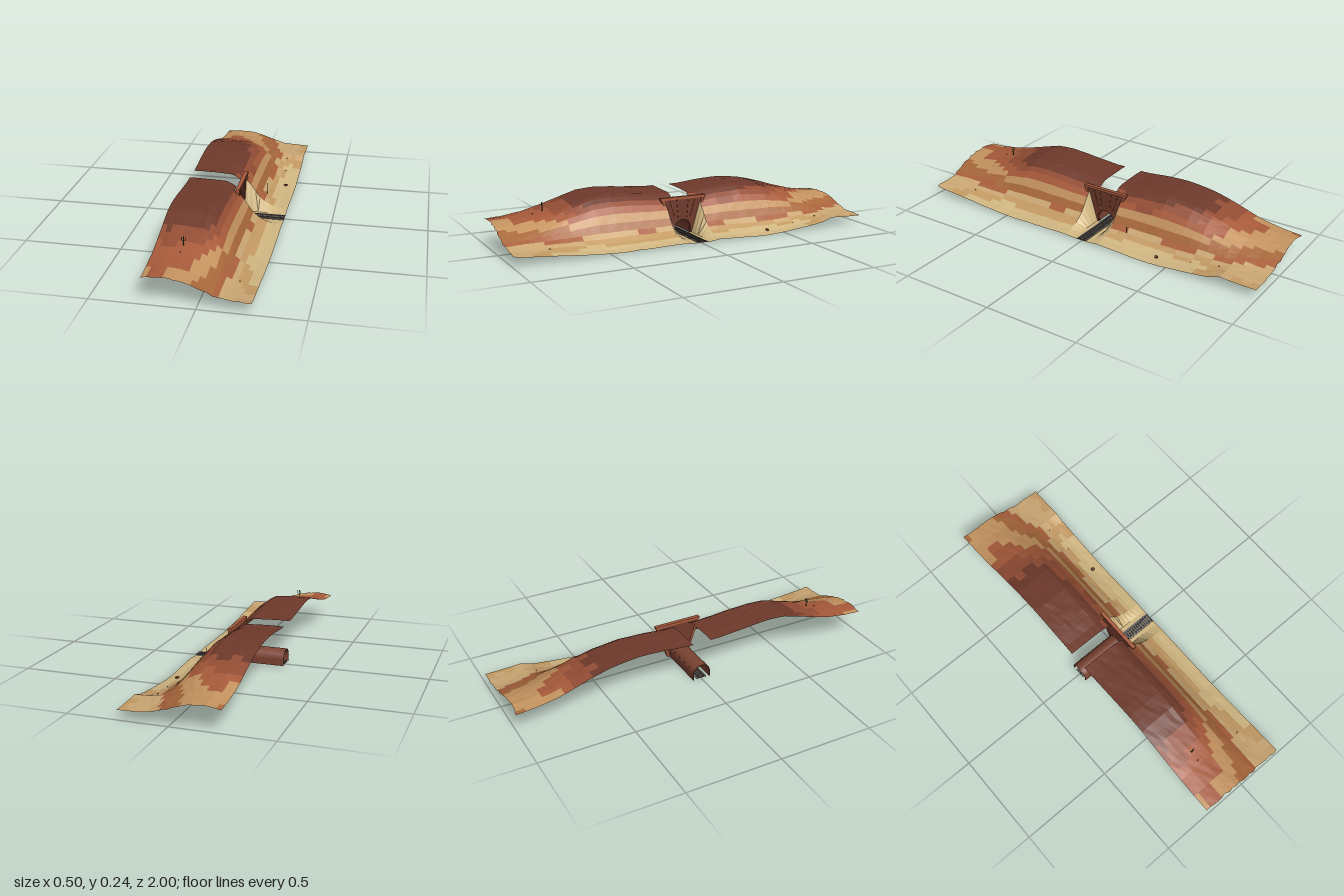
import * as THREE from 'three';

const { clamp, lerp } = THREE.MathUtils;
const mat = (color, extra = {}) => new THREE.MeshStandardMaterial({ color, flatShading: true, side: THREE.DoubleSide, ...extra });

function mesh(parent, name, geometry, material, x = 0, y = 0, z = 0) {
  const m = new THREE.Mesh(geometry, material);
  m.name = name;
  m.position.set(x, y, z);
  parent.add(m);
  return m;
}

// Linear lookup in a list of [key, value] pairs sorted by key
function sample(table, k) {
  for (let i = 1; i < table.length; i++) {
    const [k0, v0] = table[i - 1], [k1, v1] = table[i];
    if (k <= k1) return lerp(v0, v1, clamp((k - k0) / (k1 - k0), 0, 1));
  }
  return table[table.length - 1][1];
}

// Repeatable noise in -1..1
function noise(a, b) {
  const s = Math.sin(a * 127.1 + b * 311.7) * 43758.5453;
  return (s - Math.floor(s)) * 2 - 1;
}

// Hill cross-sections at the low ends and at the high middle, and the ridge line
const END = [[-0.25, 0.135], [-0.17, 0.145], [-0.1, 0.138], [-0.05, 0.128], [0, 0.11], [0.05, 0.088], [0.1, 0.068], [0.15, 0.058], [0.25, 0.054]];
const MID = [[-0.25, 0.245], [-0.05, 0.24], [-0.025, 0.23], [0, 0.212], [0.025, 0.19], [0.05, 0.157], [0.075, 0.115], [0.1, 0.077], [0.125, 0.053], [0.15, 0.036], [0.2, 0.016], [0.25, 0.009]];
const RIDGE = [[-1, 0.12], [-0.9, 0.128], [-0.8, 0.145], [-0.7, 0.172], [-0.6, 0.202], [-0.5, 0.225], [-0.35, 0.241], [-0.2, 0.234], [-0.1, 0.224],
  [0.1, 0.225], [0.25, 0.236], [0.4, 0.246], [0.5, 0.24], [0.6, 0.213], [0.7, 0.185], [0.8, 0.163], [0.9, 0.15], [1, 0.145]];
const FLOOR = 0.008;

function height(x, z) {
  const w = (sample(RIDGE, z) - 0.145) / 0.1;
  const toe = clamp(x / 0.15, 0, 1);
  const blend = Math.pow(clamp(w, 0, 1), lerp(1, 0.5, toe));
  let h = lerp(sample(END, x), sample(MID, x), blend);
  h += Math.min(w, 0) * 0.1 * (1 - toe * 0.7);
  h += noise(x * 40, z * 20) * 0.0015;
  h -= 0.008 * toe * Math.exp(-(((z + 0.4) / 0.2) ** 2));
  // Cutting in front of the portal
  if (x > 0.02) h = lerp(FLOOR, h, clamp((Math.abs(z) - 0.05) / 0.05, 0, 1));
  return Math.max(h, 0.001);
}

// Rock strata: upper height limit, colour
const STRATA = [[0.032, 0xd0b681], [0.047, 0xc39a63], [0.062, 0xcaa673], [0.078, 0xa9603c], [0.11, 0xa8683b],
  [0.142, 0xc4935f], [0.172, 0xa75a3a], [0.203, 0x934d34], [1, 0x6f3a2b]];

function buildTerrain(group) {
  const nx = 20, nz = 40;
  const buckets = STRATA.map(() => []);
  const point = (i, j) => {
    const x = -0.25 + i * 0.025, z = -1 + j * 0.05;
    const rim = j === 0 || j === nz ? -Math.sign(z) * (0.005 + 0.005 * noise(i, j)) : 0;
    return [x, height(x, z), z + rim];
  };
  for (let j = 0; j < nz; j++) {
    for (let i = 0; i < nx; i++) {
      const x = -0.25 + (i + 0.5) * 0.025, z = Math.abs(-1 + (j + 0.5) * 0.05);
      // Slot over the tunnel and recess behind the portal
      if ((x < 0 && z < 0.05) || (x > 0 && x < 0.025 && z < 0.1)) continue;
      const a = point(i, j), b = point(i, j + 1), c = point(i + 1, j + 1), d = point(i + 1, j);
      const mid = (a[1] + b[1] + c[1] + d[1]) / 4 + 0.009 * noise(Math.floor(i / 2), Math.floor(j / 2) + 50);
      const band = x > 0.02 && z < 0.1 ? 0 : STRATA.findIndex(([top]) => mid < top);
      buckets[band].push(...a, ...b, ...c, ...a, ...c, ...d);
    }
  }
  buckets.forEach((pos, k) => {
    if (!pos.length) return;
    const g = new THREE.BufferGeometry();
    g.setAttribute('position', new THREE.Float32BufferAttribute(pos, 3));
    g.computeVertexNormals();
    mesh(group, 'hillStratum' + (k + 1), g, mat(STRATA[k][1]));
  });
}

// Arch outline in (z, y)
function arch(path, r, spring, base) {
  path.moveTo(r, base);
  path.lineTo(r, spring);
  path.absarc(0, spring, r, 0, Math.PI, false);
  path.lineTo(-r, base);
  return path;
}

// Extrude a (z, y) shape along x between two stations
function extrudeX(shape, x0, x1) {
  const g = new THREE.ExtrudeGeometry(shape, { depth: x1 - x0, bevelEnabled: false, curveSegments: 12 });
  return g.rotateY(Math.PI / 2).translate(x0, 0, 0);
}

function buildTunnel(group) {
  const shell = arch(new THREE.Shape(), 0.049, 0.037, 0.006);
  shell.lineTo(-0.045, 0.006);
  shell.lineTo(-0.045, 0.037);
  shell.absarc(0, 0.037, 0.045, Math.PI, 0, true);
  shell.lineTo(0.045, 0.006);
  mesh(group, 'tunnelLining', extrudeX(shell, -0.25, 0.01), mat(0x7c4332));

  // Lamps along both tunnel walls
  const lamp = mat(0x3a2a24);
  for (let i = 0; i < 4; i++) for (const s of [-1, 1])
    mesh(group, 'tunnelLamp', new THREE.BoxGeometry(0.004, 0.003, 0.008), lamp, -0.198 + i * 0.052, 0.057, s * 0.044);
}

function buildPortal(group) {
  // Tapered face wall around the mouth
  const wall = new THREE.Shape();
  [[0.045, 0.006], [0.06, 0.006], [0.118, 0.2], [-0.118, 0.2], [-0.06, 0.006], [-0.045, 0.006]]
    .forEach(([z, y], i) => (i ? wall.lineTo(z, y) : wall.moveTo(z, y)));
  wall.lineTo(-0.045, 0.037);
  wall.absarc(0, 0.037, 0.045, Math.PI, 0, true);
  mesh(group, 'portalWall', extrudeX(wall, 0.012, 0.024), mat(0x6f3a2b));

  const frame = mat(0xa85a3c);
  mesh(group, 'portalHeader', new THREE.BoxGeometry(0.02, 0.014, 0.26), frame, 0.02, 0.2, 0);
  for (const s of [-1, 1]) {
    // Leaning side posts
    const post = new THREE.Shape();
    [[0.05, 0.006], [0.062, 0.006], [0.126, 0.195], [0.112, 0.195]]
      .forEach(([z, y], i) => (i ? post.lineTo(s * z, y) : post.moveTo(s * z, y)));
    mesh(group, 'portalPost', extrudeX(post, 0.01, 0.03), frame);
    // Raised ribs fanning out over the mouth
    for (const t of [0.2, 0.6]) {
      const rib = mesh(group, 'portalRib', new THREE.BoxGeometry(0.004, 0.1, 0.005), mat(0x84472f), 0.025, 0.143, s * (0.015 + t * 0.075));
      rib.rotation.x = s * t * 0.5;
    }
  }
}

function buildTrack(group) {
  mesh(group, 'trackBed', new THREE.BoxGeometry(0.498, 0.003, 0.056), mat(0x77716a), 0, 0.0095, 0);
  const wood = mat(0x4b423b), steel = mat(0x55585c);
  for (let i = 0; i < 36; i++)
    mesh(group, 'sleeper', new THREE.BoxGeometry(0.006, 0.002, 0.044), wood, -0.243 + i * 0.0139, 0.012, 0);
  for (const s of [-1, 1])
    mesh(group, 'rail', new THREE.BoxGeometry(0.498, 0.004, 0.003), steel, 0, 0.014, s * 0.015);
}

function buildCactus(group) {
  const cactus = new THREE.Group();
  cactus.name = 'cactus';
  const green = mat(0x3f5a2c);
  mesh(cactus, 'cactusTrunk', new THREE.CapsuleGeometry(0.0025, 0.046, 3, 7), green, 0, 0.023, 0);
  for (const [s, top] of [[-1, 0.042], [1, 0.046]]) {
    const path = new THREE.CatmullRomCurve3([[0, 0.026], [s * 0.007, 0.027], [s * 0.009, 0.031], [s * 0.009, top]]
      .map(([x, y]) => new THREE.Vector3(x, y, 0)));
    mesh(cactus, 'cactusArm', new THREE.TubeGeometry(path, 10, 0.0016, 6), green);
  }
  cactus.position.set(-0.117, height(-0.117, 0.73) - 0.002, 0.73);
  group.add(cactus);
}

export function createModel() {
  const model = new THREE.Group();
  model.name = 'desertTunnel';
  buildTerrain(model);
  buildTunnel(model);
  buildPortal(model);
  buildTrack(model);
  buildCactus(model);

  // Trackside pole
  mesh(model, 'pole', new THREE.CylinderGeometry(0.001, 0.001, 0.066, 6), mat(0x3a2f28), 0.123, 0.082, -0.2);

  // Loose rocks
  const stone = mat(0x7a4630);
  for (const [x, z, r] of [[0.195, -0.42, 0.011], [0.155, -0.75, 0.004], [0.16, 0.79, 0.004], [-0.12, 0.78, 0.004], [0.17, -0.6, 0.003]]) {
    const rock = mesh(model, 'rock', new THREE.DodecahedronGeometry(r), stone, x, height(x, z) + r * 0.3, z);
    rock.scale.y = 0.65;
  }
  return model;
}
